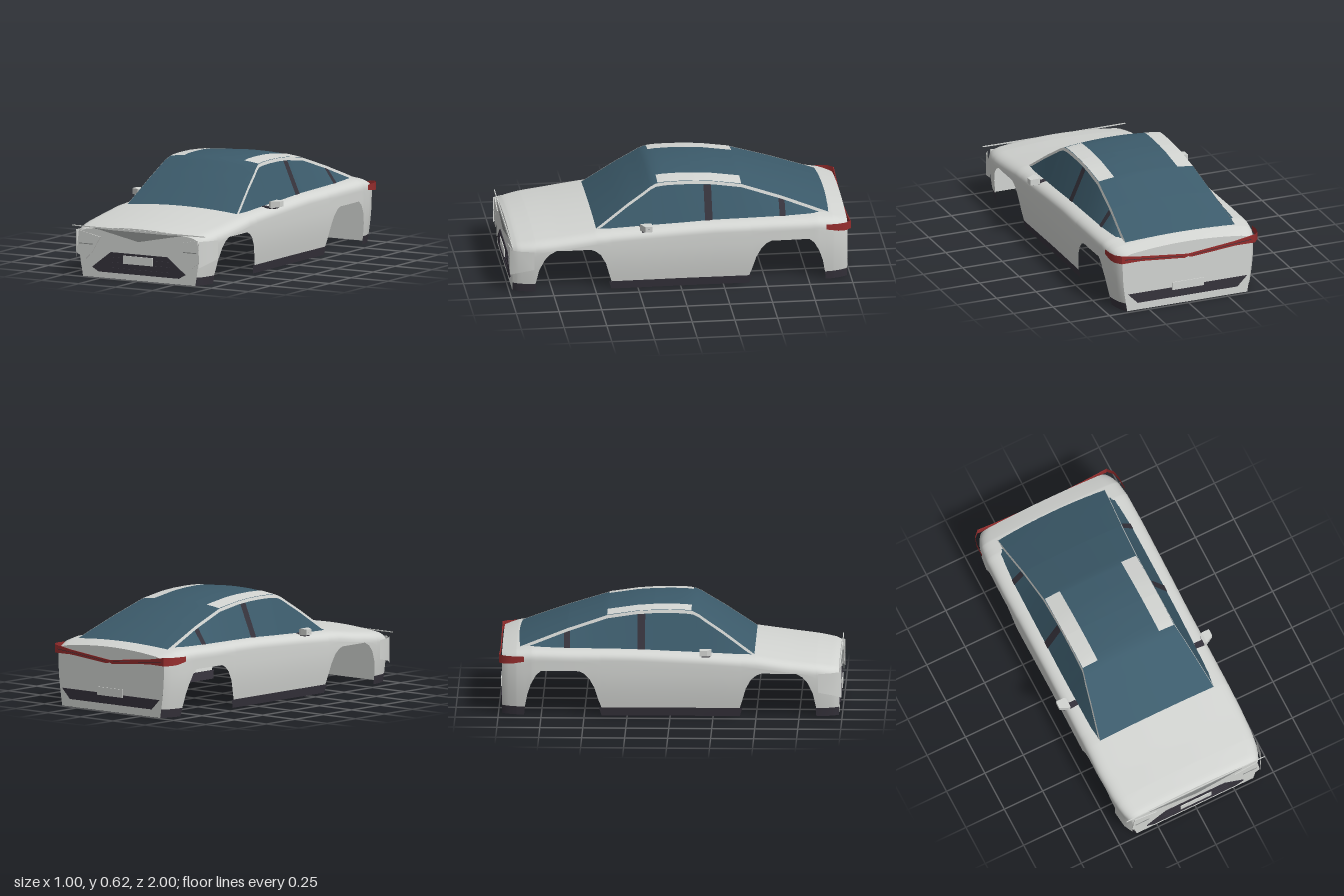
import * as THREE from 'three';

const mat = (name, color) => new THREE.MeshStandardMaterial({ name, color, side: THREE.DoubleSide });
const paint = mat('pale paint', 0xd3d5d2);
const glass = mat('blue glass', 0x3c5b6b);
const dark = mat('dark trim', 0x36333c);
const red = mat('red lamp', 0x962d2d);
const grey = mat('grey seam', 0x8d908f);

// Linear lookup in a table of [z, value, ...] rows with falling z
function look(table, z, k = 1) {
  if (z >= table[0][0]) return table[0][k];
  for (let i = 1; i < table.length; i++) {
    const a = table[i - 1], b = table[i];
    if (z >= b[0]) return a[k] + (b[k] - a[k]) * (a[0] - z) / (a[0] - b[0]);
  }
  return table[table.length - 1][k];
}

// Surface from cross-sections, each an array of [x, y, z]
function loft(name, sections, material) {
  const n = sections[0].length, index = [];
  for (let i = 0; i < sections.length - 1; i++)
    for (let j = 0; j < n - 1; j++) {
      const a = i * n + j, b = a + n;
      index.push(a, b, a + 1, a + 1, b, b + 1);
    }
  const g = new THREE.BufferGeometry();
  g.setAttribute('position', new THREE.Float32BufferAttribute(sections.flat(2), 3));
  g.setIndex(index);
  g.computeVertexNormals();
  const mesh = new THREE.Mesh(g, material);
  mesh.name = name;
  return mesh;
}

// Thin flat plate from an outline in x, y
function plate(name, pts, z, material, depth = 0.005) {
  const shape = new THREE.Shape(pts.map(p => new THREE.Vector2(p[0], p[1])));
  const g = depth ? new THREE.ExtrudeGeometry(shape, { depth, bevelEnabled: false }) : new THREE.ShapeGeometry(shape);
  const mesh = new THREE.Mesh(g, material);
  mesh.name = name;
  mesh.position.z = z;
  return mesh;
}
const mirrorOutline = half => [...half, ...half.map(([x, y]) => [-x, y]).reverse()];
const rect = (x0, x1, y0, y1) => [[x0, y0], [x1, y0], [x1, y1], [x0, y1]];
const range = (a, b, n) => Array.from({ length: n + 1 }, (_, i) => a + (b - a) * i / n);

// Body half width, centre height and lower edge with wheel arches
const WIDTH = [[.98, .408], [.96, .423], [.93, .436], [.88, .448], [.8, .457], [.65, .463], [0, .458],
  [-.6, .463], [-.8, .46], [-.89, .449], [-.94, .434], [-.965, .42], [-.98, .408]];
const TOP = [[.98, .304], [.95, .315], [.85, .331], [.7, .348], [.49, .376], [.2, .392], [-.2, .41],
  [-.8, .415], [-.9, .403], [-.98, .38]];
const LOWER = [[.98, 0], [.85, 0], [.845, .07], [.83, .14], [.8, .205], [.77, .24], [.73, .262], [.53, .262],
  [.5, .25], [.47, .225], [.44, .17], [.42, .1], [.405, 0], [-.4, 0], [-.415, .09], [-.44, .17], [-.47, .225],
  [-.5, .255], [-.53, .27], [-.75, .27], [-.78, .245], [-.81, .19], [-.83, .13], [-.845, .05], [-.85, 0], [-.98, 0]];
const SILL = 0.05;
const stations = [...new Set([WIDTH, TOP, LOWER].flatMap(t => t.map(r => r[0])))].sort((a, b) => b - a);
const sideX = (z, y) => look(WIDTH, z) * (.93 + .07 * Math.sin(Math.min(1, y / .27) * Math.PI / 2));
const deckY = (z, x) => look(TOP, z) - .022 * (x / (.83 * look(WIDTH, z))) ** 2;

// Full section from one lower edge over the top to the other
function bodySection(z, base) {
  const w = look(WIDTH, z), t = look(TOP, z), ys = t - .08, xs = sideX(z, ys), half = [];
  for (const y of range(base, ys, 8)) half.push([sideX(z, y), y, z]);
  for (const u of range(1 / 7, 1, 6)) {
    const a = (1 - u) ** 2, b = 2 * u * (1 - u), c = u * u;
    half.push([a * xs + b * w + c * .83 * w, a * ys + b * (t - .03) + c * (t - .022), z]);
  }
  for (const u of range(.84, 0, 6)) half.push([.83 * w * u, deckY(z, .83 * w * u), z]);
  return [...half, ...half.slice(0, -1).reverse().map(([x, y, q]) => [-x, y, q])];
}

// Canopy centre height and edge half width; beltline half width
const ROOF = [[.49, .376, .37], [.3, .51, .333], [.2, .574, .315], [.165, .598, .307], [.13, .614, .3], [.08, .62, .299],
  [0, .622, .298], [-.1, .62, .297], [-.2, .613, .297], [-.37, .588, .3], [-.6, .513, .318], [-.8, .438, .34], [-.95, .38, .352]];
const BELT = [[.49, .372], [.4, .385], [0, .39], [-.6, .389], [-.8, .379], [-.92, .353]];
const CROWN = .022;
const roofPoint = (z, x, lift = 0) => [x, look(ROOF, z) - CROWN * (x / look(ROOF, z, 2)) ** 2 + lift, z];
function sideLine(z, s, out = 0) {
  const xl = look(BELT, z), yl = deckY(z, xl) - .006;
  const [xe, ye] = roofPoint(z, look(ROOF, z, 2));
  return {
    low: [s * (xl + out), yl, z],
    high: [s * (xe + .006 + out), Math.max(yl, ye - .016), z],
    edge: [s * xe, Math.max(yl, ye + .002), z],
  };
}

export function createModel() {
  const car = new THREE.Group();
  car.name = 'carBody';

  // Shell, sills and flat ends
  car.add(loft('bodyShell', stations.map(z => bodySection(z, Math.max(SILL, look(LOWER, z)))), paint));
  for (const s of [1, -1])
    for (const [a, b] of [[.98, .845], [.42, -.415], [-.845, -.98]]) {
      const zs = stations.filter(z => z <= a && z >= b);
      car.add(loft('sill', zs.map(z => {
        const lo = Math.min(SILL, look(LOWER, z));
        return [lo, SILL].map(y => [s * sideX(z, y), y, z]);
      }), dark));
    }
  car.add(plate('noseFace', bodySection(.98, 0), .98, paint, 0));
  car.add(plate('tailFace', bodySection(-.98, 0), -.98, paint, 0));

  // Windscreen, roof and rear window in one canopy
  const roofZ = [...new Set([...ROOF.map(r => r[0]), ...range(.45, -.9, 27)])].sort((a, b) => b - a);
  car.add(loft('glassCanopy', roofZ.map(z => range(-1, 1, 12).map(u => roofPoint(z, u * look(ROOF, z, 2)))), glass));

  for (const s of [1, -1]) {
    // Side windows, roof rails, window posts and roof panels
    const sideZ = roofZ.filter(z => z >= -.92);
    const lines = sideZ.map(z => sideLine(z, s));
    car.add(loft('sideWindow', lines.map(l => [l.low, l.high]), glass));
    car.add(loft('roofRail', lines.map(l => [l.high, l.edge]), paint));
    for (const [a, b] of [[-.148, -.192], [-.585, -.62]])
      car.add(loft('windowPost', [a, b].map(z => { const l = sideLine(z, s, .003); return [l.low, l.high]; }), dark));
    const panelZ = [.12, ...roofZ.filter(z => z < .12 && z > -.37), -.37];
    car.add(loft('roofPanel', panelZ.map(z => [.2, .25, .297].map(x => roofPoint(z, s * x, .004))), paint));

    // Door mirror: tapered housing on a dark arm
    const arm = new THREE.Mesh(new THREE.BoxGeometry(.07, .01, .035), dark);
    arm.name = 'mirrorArm';
    arm.position.set(s * .412, .364, .218);
    const ring = (x, y0, y1, z0, z1) => [[y0, z0], [y0, z1], [y1, z1], [y1, z0], [y0, z0]].map(([y, z]) => [s * x, y, z]);
    const rings = [ring(.45, .375, .385, .2, .21), ring(.435, .367, .4, .18, .235), ring(.45, .364, .405, .172, .24),
      ring(.498, .37, .403, .172, .215), ring(.498, .385, .387, .19, .195)];
    const shell = loft('mirrorHousing', rings, paint);
    shell.geometry = shell.geometry.toNonIndexed();
    shell.geometry.computeVertexNormals();
    const base = new THREE.Mesh(new THREE.BoxGeometry(.04, .006, .045), dark);
    base.name = 'mirrorBase';
    base.position.set(s * .455, .363, .207);
    car.add(arm, shell, base);

    // Front lamp facets and the wrap-around corner panel
    const m = pts => pts.map(([x, y]) => [s * x, y]);
    const lamp = [[.4, .27], [.255, .24], [.315, .14], [.36, .1], [.415, .14]];
    car.add(plate('headlampPanel', m(lamp), .988, paint));
    car.add(plate('headlampSlit', m(rect(.305, .395, .192, .197)), .994, grey, .003));
    car.add(loft('cornerPanel', [[.415, .997, .11, .265], [.445, .95, .13, .264], [.46, .86, .15, .26]]
      .map(([x, z, a, b]) => [[s * x, a, z], [s * x, b, z]]), paint));

    // Tail lamp wrapping from the flank to the centre
    car.add(loft('tailLamp', [[.464, -.85, .325, .355], [.462, -.92, .313, .357], [.45, -.965, .31, .358], [.42, -.996, .309, .358]]
      .map(([x, z, a, b]) => [[s * x, a, z], [s * x, b, z]]), red));
    car.add(plate('tailBand', m([[.42, .358], [.42, .309], [.3, .31], [.02, .285], [0, .292], [0, .306], [.3, .338]]), -.997, red));
    car.add(plate('tailBandSeam', m([[.4, .334], [.4, .331], [.03, .297], [.03, .299]]), -.999, dark, .002));
  }

  // Nose: brow panel, intake with slats, number plate
  car.add(plate('browPanel', mirrorOutline([[.45, .297], [.45, .292], [.3, .29], [.14, .284], [0.001, .236]]), .984, paint));
  car.add(plate('browSeam', mirrorOutline([[.37, .26], [.3, .29], [.14, .284], [.001, .236], [.001, .23], [.14, .279], [.3, .286]].slice(1)), .989, grey, .002));
  car.add(plate('frontIntake', mirrorOutline([[.19, .155], [.315, .06], [.27, .035]]), .981, dark));
  for (const [w, y] of [[.2, .125], [.21, .095], [.2, .063]])
    car.add(plate('intakeSlat', rect(-w, w, y - .002, y + .002), .986, dark, .004));
  car.add(plate('frontPlate', rect(-.1, .1, .095, .143), .99, paint));

  // Tail: lower valance and number plate
  car.add(plate('rearValance', mirrorOutline([[.375, .105], [.315, .045]]), -.986, dark));
  car.add(plate('rearPlate', rect(-.1, .1, .092, .14), -.993, paint));

  return car;
}
